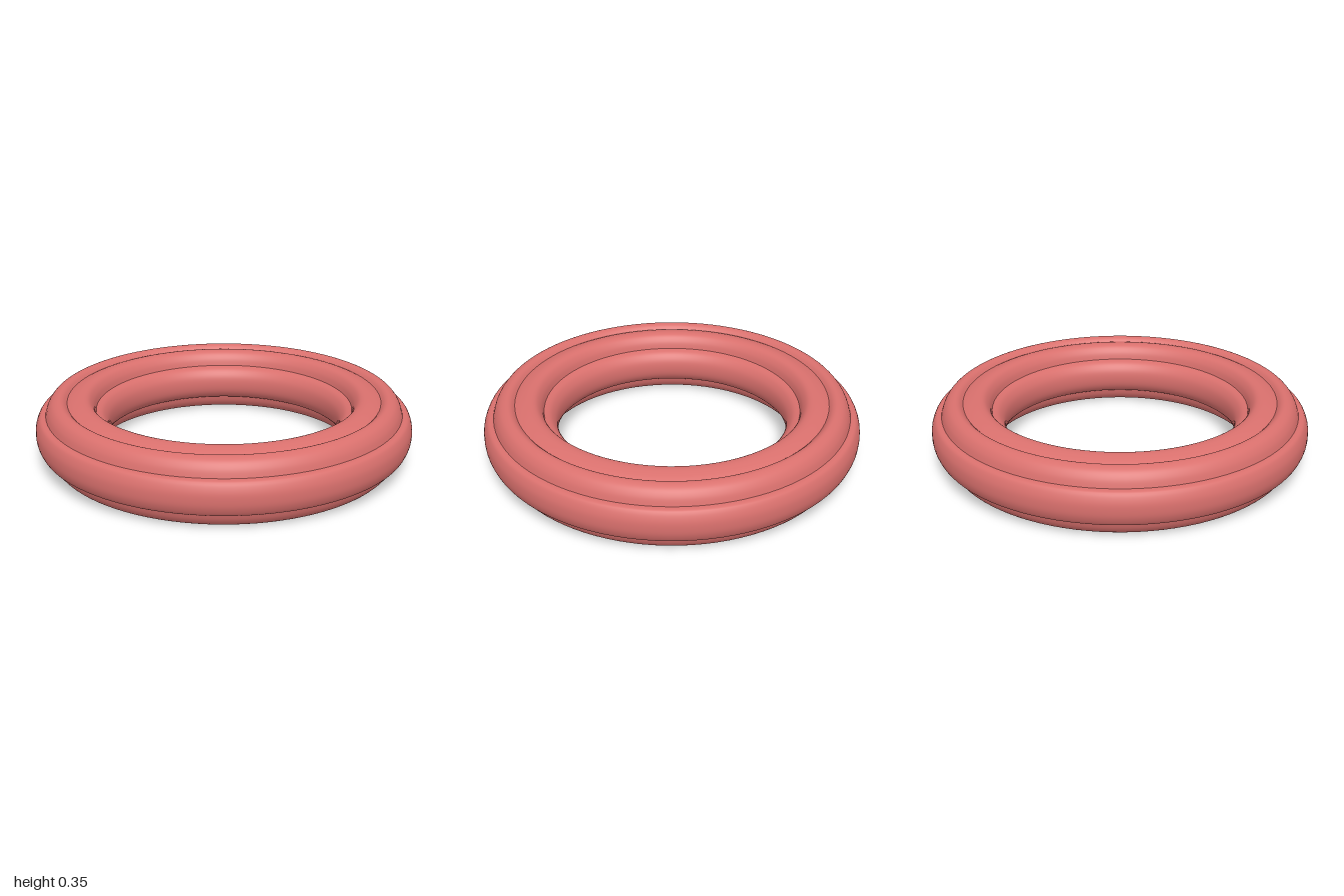
import * as THREE from 'three';

const MID = 0.178; // height of the ring's middle plane
const SEGMENTS = 96;

export function createModel() {
  const group = new THREE.Group();
  group.name = 'lobedRing';
  const coral = new THREE.MeshStandardMaterial({ color: 0xd9706d });
  coral.name = 'coral red';

  // One smooth lobe swept round the ring; the creases lie between lobes.
  // Profiles are [radius, height], running counter-clockwise.
  function addLobe(name, profile) {
    const curve = new THREE.SplineCurve(profile.map(([r, y]) => new THREE.Vector2(r, y)));
    const mesh = new THREE.Mesh(new THREE.LatheGeometry(curve.getPoints(24), SEGMENTS), coral);
    mesh.name = name;
    group.add(mesh);
  }
  const mirror = (profile) => profile.map(([r, y]) => [r, 2 * MID - y]).reverse();

  // Upper halves of the outer and inner bands, from middle plane to crease
  const outerHalf = [[1, MID], [0.995, 0.22], [0.975, 0.26], [0.945, 0.268]];
  const innerHalf = [[0.68, 0.275], [0.645, 0.262], [0.618, 0.225], [0.61, MID]];
  addLobe('outerBand', [...mirror(outerHalf), ...outerHalf.slice(1)]);
  addLobe('innerBand', [...innerHalf, ...mirror(innerHalf).slice(1)]);

  // Two rounded lobes on the top, repeated underneath
  const outerLobe = [[0.945, 0.268], [0.932, 0.305], [0.908, 0.336], [0.875, 0.351], [0.85, 0.346], [0.83, 0.328]];
  const innerLobe = [[0.83, 0.328], [0.8, 0.341], [0.755, 0.351], [0.718, 0.343], [0.692, 0.312], [0.68, 0.275]];
  addLobe('upperOuterLobe', outerLobe);
  addLobe('upperInnerLobe', innerLobe);
  addLobe('lowerOuterLobe', mirror(outerLobe));
  addLobe('lowerInnerLobe', mirror(innerLobe));

  return group;
}
